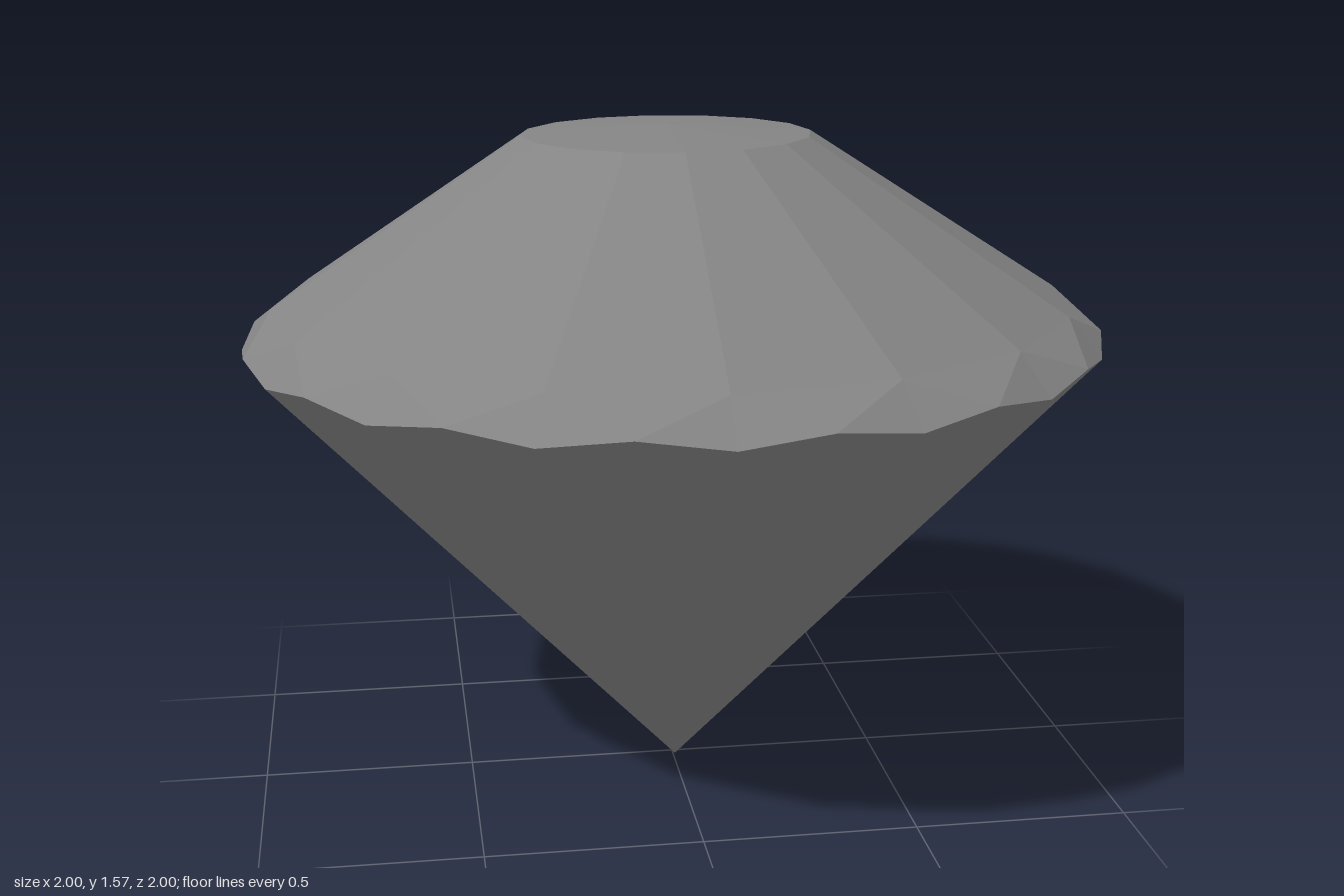
import * as THREE from 'three';

const SIDES = 16;
const TWIST = -0.02; // the stone is turned a little about its axis

// Ring of corners; the stone leans back slightly, so rings shift in x, z and tip in y.
function ring(r, y, dx = 0, dz = 0) {
  return Array.from({ length: SIDES }, (_, k) => {
    const a = (k * 2 * Math.PI) / SIDES + TWIST;
    const s = Math.sin(a), c = Math.cos(a);
    return new THREE.Vector3(r * s + dx, y + 0.007 * r * c + 0.004 * r * s, r * c + dz);
  });
}

function facetMesh(name, triangles) {
  const geometry = new THREE.BufferGeometry().setFromPoints(triangles.flat());
  geometry.computeVertexNormals();
  const material = new THREE.MeshStandardMaterial({ color: 0x848484, flatShading: true });
  const mesh = new THREE.Mesh(geometry, material);
  mesh.name = name;
  return mesh;
}

export function createModel() {
  const top = new THREE.Vector3(-0.01, 1.565, -0.025);
  const tip = new THREE.Vector3(0.005, 0, 0.018);
  const tableRing = ring(0.338, 1.543, -0.008, -0.033);
  const crownRing = ring(0.93, 1.157, 0, -0.022);
  const girdleLow = ring(1, 1.069);
  // raised girdle points continue the flat lower facets upwards
  const girdleHigh = girdleLow.map((low, k) =>
    low.clone().lerp(girdleLow[(k + 1) % SIDES], 0.5).sub(tip).multiplyScalar(1.022).add(tip));

  const table = [], crown = [], girdle = [], pavilion = [];
  for (let k = 0; k < SIDES; k++) {
    const n = (k + 1) % SIDES, p = (k + SIDES - 1) % SIDES;
    // shallow cap
    table.push([top, tableRing[k], tableRing[n]]);
    // five-sided main facet
    crown.push([tableRing[k], crownRing[k], crownRing[n]], [tableRing[k], crownRing[n], tableRing[n]]);
    crown.push([crownRing[k], girdleHigh[k], crownRing[n]]);
    // small kite facet over each main corner
    girdle.push([crownRing[k], girdleHigh[p], girdleLow[k]], [crownRing[k], girdleLow[k], girdleHigh[k]]);
    // long lower facets meeting at the tip
    pavilion.push([girdleLow[k], tip, girdleHigh[k]], [girdleHigh[k], tip, girdleLow[n]]);
  }

  const gem = new THREE.Group();
  gem.name = 'gem';
  gem.add(
    facetMesh('table', table),
    facetMesh('crown', crown),
    facetMesh('girdleFacets', girdle),
    facetMesh('pavilion', pavilion),
  );
  return gem;
}
